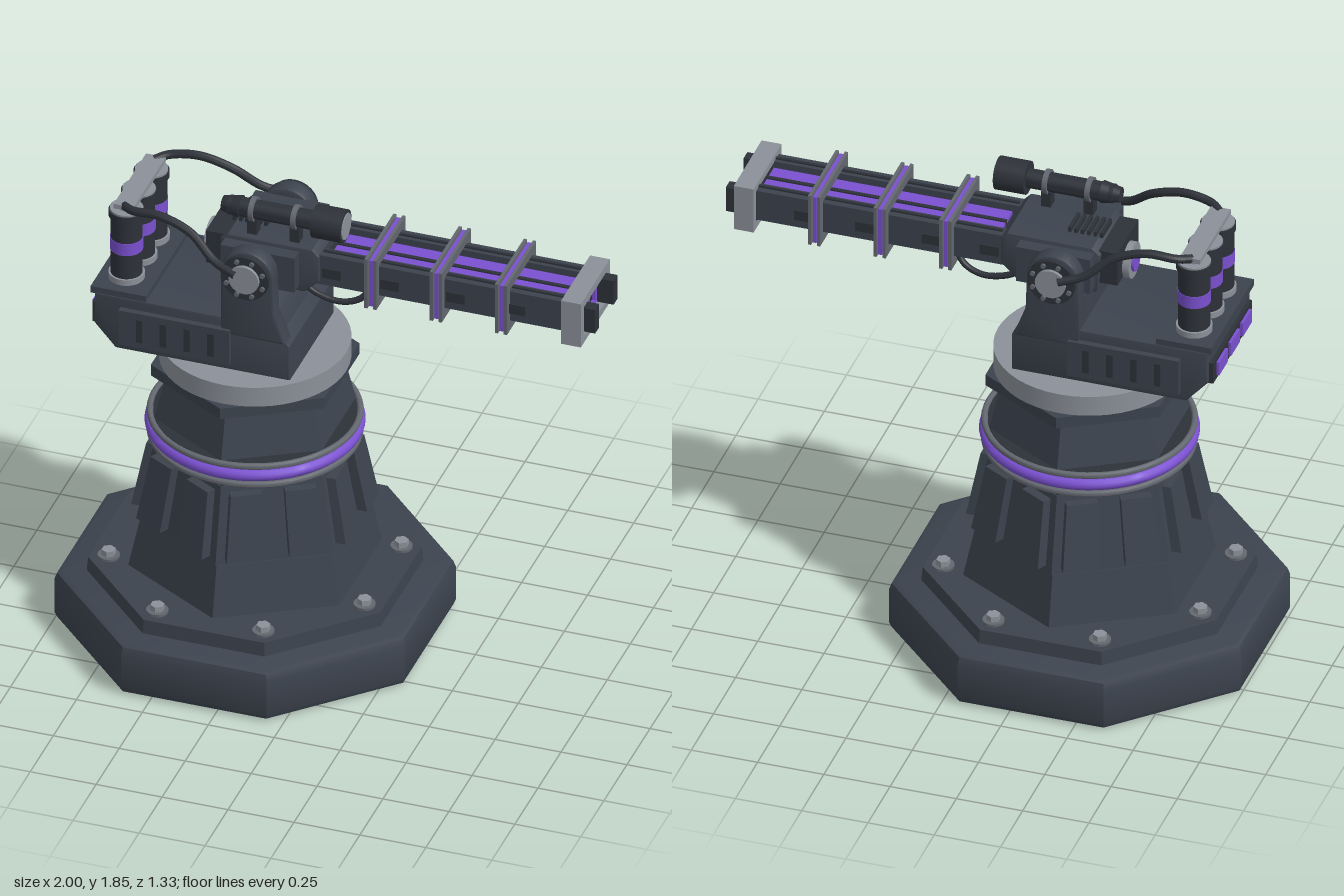
import * as THREE from 'three';
import { toCreasedNormals } from 'three/addons/utils/BufferGeometryUtils.js';

const mat = (name, color) => {
  const m = new THREE.MeshStandardMaterial({ color });
  m.name = name;
  return m;
};

export function createModel() {
  const armor = mat('slate armor', 0x3c434e), dark = mat('dark metal', 0x2d3138);
  const steel = mat('steel', 0x8b9099), dim = mat('dull steel', 0x63676f), glow = mat('violet', 0x7a50d0);
  const root = new THREE.Group();
  root.name = 'turret';
  const AX = -0.335; // tower axis

  const add = (name, geo, m, x = 0, y = 0, z = 0, parent = root) => {
    const mesh = new THREE.Mesh(toCreasedNormals(geo, 0.6), m);
    mesh.name = name;
    mesh.position.set(x, y, z);
    parent.add(mesh);
    return mesh;
  };
  // box given by its limits
  const box = (name, m, x0, x1, y0, y1, z0, z1) =>
    add(name, new THREE.BoxGeometry(x1 - x0, y1 - y0, z1 - z0), m, (x0 + x1) / 2, (y0 + y1) / 2, (z0 + z1) / 2);
  // upright cylinder or prism between two heights
  const post = (name, m, x, z, y0, y1, rb, rt = rb, n = 28, start = 0) =>
    add(name, new THREE.CylinderGeometry(rt, rb, y1 - y0, n, 1, false, start), m, x, (y0 + y1) / 2, z);
  const rodX = (name, m, x0, x1, y, z, r, r2 = r) =>
    add(name, new THREE.CylinderGeometry(r2, r, x1 - x0, 24).rotateZ(-Math.PI / 2), m, (x0 + x1) / 2, y, z);
  const rodZ = (name, m, x, y, z0, z1, r) =>
    add(name, new THREE.CylinderGeometry(r, r, Math.abs(z1 - z0), 24).rotateX(Math.PI / 2), m, x, y, (z0 + z1) / 2);
  // side profile extruded across z
  const slab = (name, m, pts, z0, z1, b = 0.01) => {
    const s = Array.isArray(pts) ? new THREE.Shape(pts.map(p => new THREE.Vector2(...p))) : pts;
    const g = new THREE.ExtrudeGeometry(s, { depth: z1 - z0 - 2 * b, bevelEnabled: b > 0, bevelSize: b, bevelOffset: -b, bevelThickness: b, bevelSegments: 2, curveSegments: 16 });
    return add(name, g, m, 0, 0, z0 + b);
  };
  // rectangular collar around the barrel
  const collar = (name, m, x0, x1, y, hw, hh, t) => {
    const rect = (P, w, h) => new P([[-w, -h], [w, -h], [w, h], [-w, h]].map(p => new THREE.Vector2(...p)));
    const s = rect(THREE.Shape, hw, hh);
    s.holes.push(rect(THREE.Path, hw - t, hh - t));
    return add(name, new THREE.ExtrudeGeometry(s, { depth: x1 - x0, bevelEnabled: false }).rotateY(Math.PI / 2), m, x0, y, 0);
  };
  const tube = (name, m, pts, r) =>
    add(name, new THREE.TubeGeometry(new THREE.CatmullRomCurve3(pts.map(p => new THREE.Vector3(...p))), 28, r, 10), m);

  // octagonal foot with softened rims
  const K = 1 / Math.cos(Math.PI / 8);
  const foot = [[0, 0], [0.635, 0], [0.656, 0.009], [0.665, 0.03], [0.665, 0.17], [0.656, 0.196], [0.635, 0.205], [0, 0.205]]
    .map(([r, y]) => new THREE.Vector2(r * K, y));
  add('foot', new THREE.LatheGeometry(foot, 8, Math.PI / 8), armor, AX);
  post('footPlate', armor, AX, 0, 0.2, 0.26, 0.558 * K, 0.553 * K, 8, Math.PI / 8);
  for (let i = 0; i < 8; i++) {
    const a = Math.PI / 8 + i * Math.PI / 4, x = AX + 0.525 * Math.cos(a), z = 0.525 * Math.sin(a);
    post('boltWasher', dim, x, z, 0.26, 0.27, 0.04);
    post('boltHead', steel, x, z, 0.27, 0.292, 0.026, 0.026, 6);
  }

  // hexagonal tower
  post('towerBase', armor, AX, 0, 0.26, 0.455, 0.462, 0.418, 6);
  post('towerMiddle', armor, AX, 0, 0.465, 0.765, 0.43, 0.37, 6);
  post('towerNeck', dark, AX, 0, 0.44, 0.9, 0.41, 0.345, 6);
  post('towerTop', armor, AX, 0, 0.87, 1.07, 0.368, 0.32, 6);
  post('towerCollar', armor, AX, 0, 1.06, 1.105, 0.38, 0.38, 6);
  post('turntable', steel, AX, 0, 1.105, 1.185, 0.345, 0.345, 48);
  post('ringSeat', dark, AX, 0, 0.785, 0.875, 0.365, 0.365, 48);

  // two sloped armor panels on each tower face
  for (let i = 0; i < 6; i++) {
    const face = new THREE.Group();
    face.name = 'facePanels';
    face.position.x = AX;
    face.rotation.y = i * Math.PI / 3;
    root.add(face);
    for (const s of [-1, 1]) {
      const g = new THREE.BoxGeometry(0.05, 0.255, 0.13);
      const p = g.attributes.position;
      for (let k = 0; k < p.count; k++) {
        const t = p.getY(k) / 0.255 + 0.5; // lean inward and narrow toward the top
        p.setX(k, p.getX(k) + 0.382 - 0.048 * t);
        p.setZ(k, p.getZ(k) * (1 - 0.12 * t) + s * (0.115 - 0.016 * t));
      }
      add('facePanel', g, armor, 0, 0.615, 0, face);
    }
  }

  // ring bands
  const ring = (name, m, y, R, r) => add(name, new THREE.TorusGeometry(R, r, 12, 64).rotateX(Math.PI / 2), m, AX, y);
  ring('lowerRing', dim, 0.793, 0.377, 0.012);
  ring('glowRing', glow, 0.832, 0.373, 0.023);
  ring('upperRing', dim, 0.87, 0.377, 0.012);

  // turret body
  slab('turretBody', armor, [[-0.78, 1.185], [-0.12, 1.185], [-0.12, 1.33], [-0.18, 1.405], [-0.86, 1.405], [-0.86, 1.275]], -0.245, 0.245);
  slab('gunPedestal', armor, [[-0.38, 1.38], [-0.15, 1.38], [-0.175, 1.46], [-0.24, 1.52], [-0.38, 1.52]], -0.2, 0.2);
  box('capacitorDeck', armor, -0.875, -0.665, 1.4, 1.427, -0.24, 0.24);
  box('rearVentFrame', dark, -0.875, -0.85, 1.265, 1.35, -0.22, 0.22);
  for (const z of [-0.135, 0, 0.135]) {
    box('rearVent', glow, -0.886, -0.87, 1.28, 1.335, z - 0.05, z + 0.05);

    // capacitors
    const x = -0.775;
    post('capacitorFoot', steel, x, z, 1.427, 1.45, 0.066);
    post('capacitorCan', dark, x, z, 1.45, 1.69, 0.058);
    post('capacitorBand', glow, x, z, 1.55, 1.6, 0.06);
    post('capacitorRim', dark, x, z, 1.69, 1.715, 0.065);
    post('capacitorCap', steel, x, z, 1.715, 1.722, 0.06);
    post('capacitorTerminal', steel, x, z, 1.72, 1.74, 0.03);
  }
  box('busBar', steel, -0.81, -0.735, 1.733, 1.752, -0.175, 0.175);

  // parts mirrored on both sides
  const PX = -0.28, PY = 1.605;
  for (const s of [-1, 1]) {
    const lim = (a, b) => s > 0 ? [a, b] : [-b, -a];
    box('sidePanel', armor, -0.76, -0.34, 1.22, 1.365, ...lim(0.24, 0.268));
    for (const x of [-0.68, -0.59, -0.5, -0.41]) box('sideSlot', dark, x - 0.012, x + 0.012, 1.245, 1.34, ...lim(0.266, 0.272));

    // yoke arm with rounded head
    const arm = new THREE.Shape();
    arm.moveTo(-0.38, 1.34);
    arm.lineTo(-0.13, 1.34);
    arm.lineTo(-0.175, 1.46);
    arm.lineTo(PX + 0.1, PY);
    arm.absarc(PX, PY, 0.1, 0, Math.PI, false);
    arm.closePath();
    slab('yokeArm', armor, arm, ...lim(0.185, 0.255), 0.012);
    rodZ('pivotHousing', dark, PX, PY, s * 0.24, s * 0.272, 0.09);
    rodZ('pivotCap', steel, PX, PY, s * 0.265, s * 0.285, 0.057);
    for (let i = 0; i < 8; i++) {
      const a = (i + 0.5) * Math.PI / 4;
      rodZ('pivotBolt', dim, PX + 0.074 * Math.cos(a), PY + 0.074 * Math.sin(a), s * 0.265, s * 0.28, 0.009);
    }
    tube('powerCable', dark, [[-0.775, 1.742, s * 0.16], [-0.73, 1.752, s * 0.195], [-0.62, 1.762, s * 0.21], [-0.5, 1.725, s * 0.225],
      [-0.4, 1.65, s * 0.26], [-0.31, 1.622, s * 0.285]], 0.016);
    tube('barrelCable', dark, [[-0.13, 1.53, s * 0.1], [-0.06, 1.492, s * 0.11], [0.03, 1.476, s * 0.11], [0.1, 1.498, s * 0.1], [0.14, 1.55, s * 0.09]], 0.012);

    // barrel rails with inset side plates
    box('barrelRail', armor, -0.06, 0.9, 1.545, 1.668, ...lim(0.075, 0.127));
    box('railTip', dark, 0.88, 0.997, 1.555, 1.655, ...lim(0.078, 0.122));
    box('railTop', dark, -0.04, 0.88, 1.664, 1.674, ...lim(0.09, 0.102));
    for (const x of [0, 0.22, 0.47, 0.7]) box('railPlate', dark, x - 0.035, x + 0.035, 1.578, 1.618, ...lim(0.122, 0.133));
    box('glowStrip', glow, -0.02, 0.9, 1.625, 1.645, ...lim(0.008, 0.07));
    box('receiverCheek', armor, -0.4, -0.12, 1.53, 1.675, ...lim(0.13, 0.19));
  }

  // receiver
  slab('receiver', armor, [[-0.41, 1.505], [-0.1, 1.505], [-0.045, 1.56], [-0.045, 1.665], [-0.07, 1.692], [-0.39, 1.692], [-0.42, 1.665]], -0.14, 0.14);
  box('receiverRear', dark, -0.48, -0.4, 1.54, 1.675, -0.12, 0.12);
  rodX('rearCap', steel, -0.505, -0.475, 1.58, 0, 0.068);
  rodX('rearLight', glow, -0.514, -0.5, 1.58, 0, 0.04);
  for (let i = 0; i < 6; i++) box('topRib', dark, -0.405 + i * 0.024, -0.393 + i * 0.024, 1.69, 1.71, -0.06, 0.045);

  // barrel core and muzzle
  box('barrelCore', dark, -0.06, 0.92, 1.555, 1.63, -0.08, 0.08);
  box('centerRail', dark, -0.02, 0.9, 1.625, 1.65, -0.008, 0.008);
  collar('muzzleFrame', steel, 0.88, 0.955, 1.6, 0.157, 0.092, 0.032);
  box('muzzleBack', dark, 0.88, 0.92, 1.54, 1.665, -0.13, 0.13);
  collar('muzzleGlow', glow, 0.915, 0.935, 1.603, 0.073, 0.045, 0.012);
  rodX('muzzleCore', glow, 0.915, 0.93, 1.603, 0, 0.013);

  // coil collars
  for (const x of [0.157, 0.405, 0.652]) {
    for (const d of [-0.017, 0.017]) collar('coilPlate', dim, x + d - 0.006, x + d + 0.006, 1.605, 0.158, 0.104, 0.035);
    collar('coilGlow', glow, x - 0.007, x + 0.007, 1.605, 0.151, 0.097, 0.03);
  }

  // scope
  const SY = 1.787, SZ = 0.09;
  rodX('scopeTube', dark, -0.4, -0.06, SY, SZ, 0.036);
  rodX('scopeEyepiece', dark, -0.425, -0.355, SY, SZ, 0.028, 0.042);
  rodX('scopeBell', dark, -0.075, 0.04, SY, SZ, 0.062);
  rodX('scopeLens', steel, 0.035, 0.044, SY, SZ, 0.05);
  for (const x of [-0.308, -0.147]) {
    rodX('scopeRing', dim, x - 0.009, x + 0.009, SY, SZ, 0.046);
    box('scopeMount', dark, x - 0.018, x + 0.018, 1.685, 1.755, SZ - 0.022, SZ + 0.022);
  }
  return root;
}
